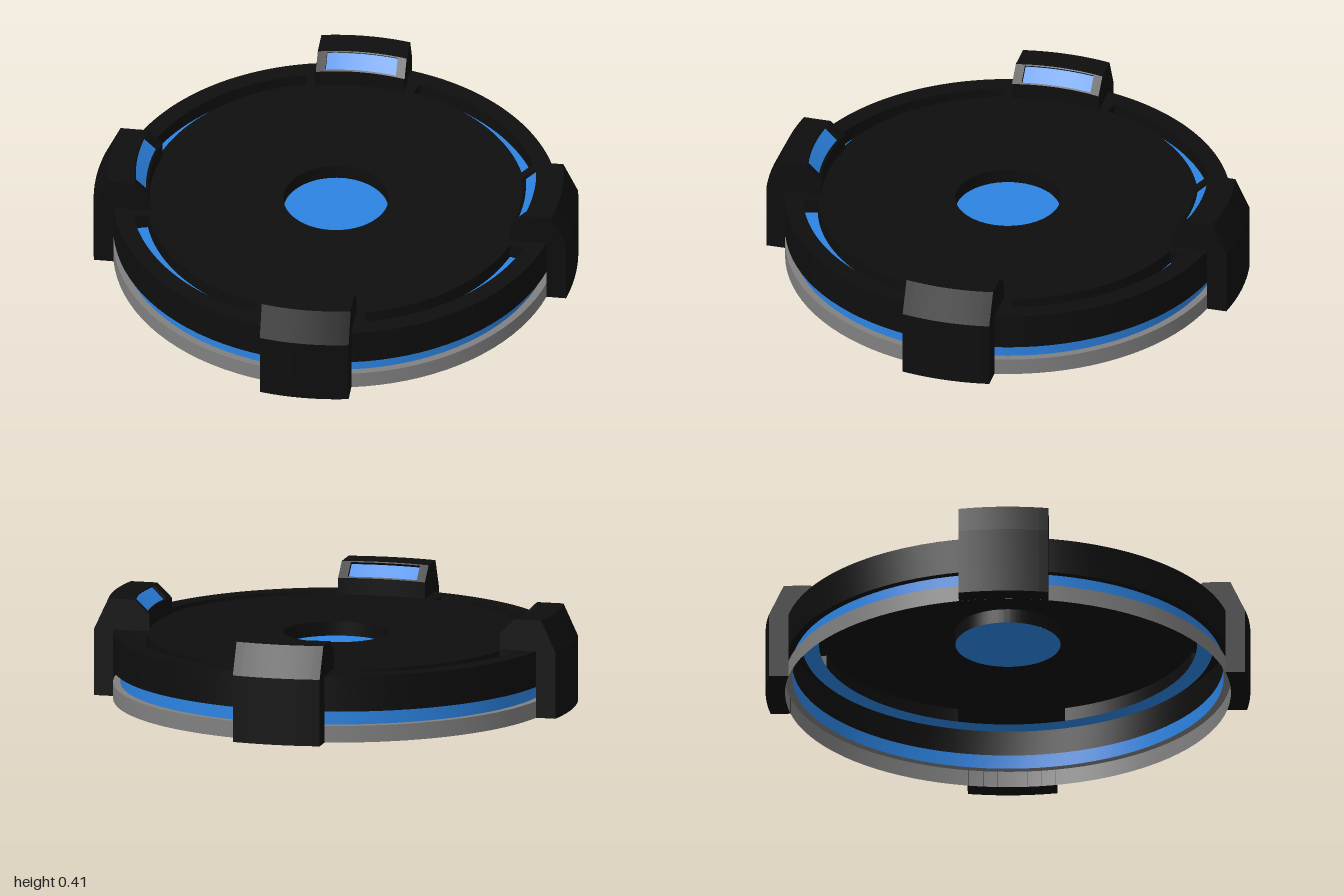
import * as THREE from 'three';
import { toCreasedNormals } from 'three/addons/utils/BufferGeometryUtils.js';

const mat = (color) => new THREE.MeshStandardMaterial({ color, side: THREE.DoubleSide });
const black = mat(0x0e0e0e), blue = mat(0x2b83e2), grey = mat(0x808080);
const SEG = 96;

function add(parent, name, geometry, material) {
  const mesh = new THREE.Mesh(geometry, material);
  mesh.name = name;
  parent.add(mesh);
  return mesh;
}

// Thin shell turned around the y axis
function turned(points) {
  const g = new THREE.LatheGeometry(points.map(([r, y]) => new THREE.Vector2(r, y)), SEG);
  return toCreasedNormals(g, 0.6);
}

// Flat shape laid on the ground plane, facing up
const flat = (shape, y) => new THREE.ShapeGeometry(shape, SEG).rotateX(-Math.PI / 2).translate(0, y, 0);

// Upright wall along a closed outline
function wall(path, y0, y1) {
  const pts = path.getPoints(SEG), pos = [], index = [];
  pts.push(pts[0]);
  pts.forEach((p, i) => {
    pos.push(p.x, y0, -p.y, p.x, y1, -p.y);
    const a = 2 * i;
    if (i < pts.length - 1) index.push(a, a + 1, a + 2, a + 1, a + 3, a + 2);
  });
  const g = new THREE.BufferGeometry();
  g.setAttribute('position', new THREE.Float32BufferAttribute(pos, 3));
  g.setIndex(index);
  return toCreasedNormals(g, 0.6);
}

// Closed (radius, y) profile, counter-clockwise, swept sideways along the rim between x0 and x1
function rimSweep(profile, x0, x1, steps) {
  const n = profile.length, pos = [], index = [];
  for (let s = 0; s <= steps; s++) {
    const x = x0 + (x1 - x0) * s / steps;
    for (const [r, y] of profile) pos.push(x, y, Math.sqrt(r * r - x * x));
  }
  for (let s = 0; s < steps; s++) {
    for (let i = 0; i < n; i++) {
      const a = s * n + i, b = s * n + (i + 1) % n;
      index.push(a, a + n, b, b, a + n, b + n);
    }
  }
  const caps = THREE.ShapeUtils.triangulateShape(profile.map(([r, y]) => new THREE.Vector2(r, y)), []);
  for (const [a, b, c] of caps) {
    index.push(a, b, c, steps * n + a, steps * n + c, steps * n + b);
  }
  // Profile plane (z, y) seen along x is mirrored, so turn every face outwards
  for (let i = 0; i < index.length; i += 3) {
    [index[i + 1], index[i + 2]] = [index[i + 2], index[i + 1]];
  }
  const g = new THREE.BufferGeometry();
  g.setAttribute('position', new THREE.Float32BufferAttribute(pos, 3));
  g.setIndex(index.reverse());
  return toCreasedNormals(g, 0.3);
}

function createClamp(i) {
  const clamp = new THREE.Group();
  clamp.name = 'rimClamp' + (i + 1);
  const leg = [[0.77, 0.28], [0.92, 0.28], [0.92, 0], [1, 0], [1, 0.28], [0.94, 0.41], [0.83, 0.41]];
  const solid = [...leg, [0.77, 0.35]];
  // The middle has a shallow recess in its inner slope
  const notch = [[0.826, 0.406], [0.836, 0.396], [0.785, 0.345], [0.775, 0.355]];
  const recessed = [...leg, ...notch, [0.77, 0.35]];
  add(clamp, 'clampMiddle', rimSweep(recessed, -0.147, 0.147, 10), black);
  add(clamp, 'clampEndRight', rimSweep(solid, -0.185, -0.147, 2), black);
  add(clamp, 'clampEndLeft', rimSweep(solid, 0.147, 0.185, 2), black);
  // Light strip on the recess floor
  const strip = [[0.784, 0.346], [0.785, 0.345], [0.836, 0.396], [0.834, 0.396]];
  add(clamp, 'clampLight', rimSweep(strip, -0.146, 0.146, 10), blue);
  clamp.rotation.y = i * Math.PI / 2;
  return clamp;
}

export function createModel() {
  const model = new THREE.Group();
  model.name = 'lightDisc';

  // Stacked rim shells
  add(model, 'baseRing', turned([[0.92, 0], [0.92, 0.07], [0.89, 0.07]]), grey);
  add(model, 'rimLight', turned([[0.89, 0.07], [0.89, 0.13]]), blue);
  add(model, 'bodyWall', turned([[0.89, 0.13], [0.92, 0.13], [0.92, 0.28]]), black);

  // Top plate with a round opening and four curved slots
  const plate = new THREE.Shape().absarc(0, 0, 0.92, 0, Math.PI * 2);
  const openings = [new THREE.Path().absarc(0, 0, 0.217, 0, Math.PI * 2, true)];
  for (let i = 0; i < 4; i++) {
    const a = i * Math.PI / 2 + 0.285, b = (i + 1) * Math.PI / 2 - 0.285;
    const slot = new THREE.Path();
    slot.absarc(0, 0, 0.845, a, b, false);
    slot.absarc(0, 0, 0.785, b, a, true);
    slot.closePath();
    openings.push(slot);
  }
  plate.holes.push(...openings);
  add(model, 'topPlate', flat(plate, 0.28), black);
  openings.forEach((o, i) => add(model, i ? 'slotWall' + i : 'centreWall', wall(o, 0.22, 0.28), black));

  // Lit floors below the openings
  add(model, 'centreLight', new THREE.CircleGeometry(0.217, SEG).rotateX(-Math.PI / 2).translate(0, 0.22, 0), blue);
  add(model, 'ringLight', new THREE.RingGeometry(0.78, 0.85, SEG).rotateX(-Math.PI / 2).translate(0, 0.22, 0), blue);

  // Four clamps around the rim
  for (let i = 0; i < 4; i++) model.add(createClamp(i));
  return model;
}
